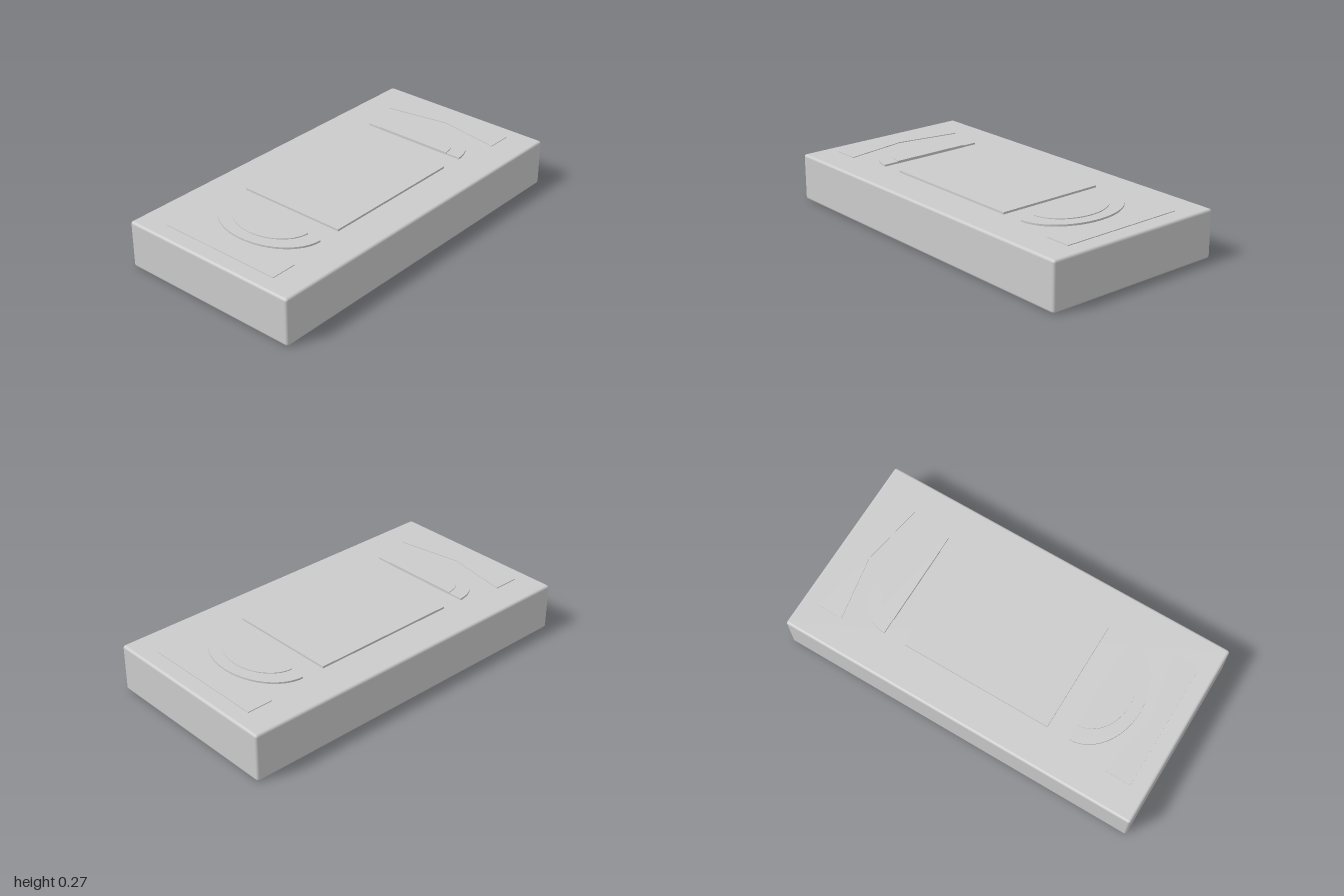
import * as THREE from 'three';
import { RoundedBoxGeometry } from 'three/addons/geometries/RoundedBoxGeometry.js';

const BODY_TOP = 0.256;
const material = new THREE.MeshStandardMaterial({ color: 0xcccccc });

// Flat plate cut from an outline of (x, z) points, rising from inside the body to the given height
function plate(name, points, top) {
  const shape = new THREE.Shape(points.map(([x, z]) => new THREE.Vector2(x, -z)));
  const base = BODY_TOP - 0.006;
  const geometry = new THREE.ExtrudeGeometry(shape, { depth: top - base, bevelEnabled: false });
  geometry.rotateX(-Math.PI / 2).translate(0, base, 0);
  const mesh = new THREE.Mesh(geometry, material);
  mesh.name = name;
  return mesh;
}

// Half ellipse with its straight edge facing the middle of the body
function halfEllipse(side, edgeX, rx, rz) {
  const points = [];
  for (let i = 0; i <= 24; i++) {
    const a = (i / 24 - 0.5) * Math.PI;
    points.push([side * (edgeX + rx * Math.cos(a)), rz * Math.sin(a)]);
  }
  return points;
}

export function createModel() {
  const model = new THREE.Group();
  model.name = 'cassetteBox';

  // Main body with softened edges
  const body = new THREE.Mesh(new RoundedBoxGeometry(2, BODY_TOP, 1.03, 3, 0.014), material);
  body.name = 'body';
  body.position.y = BODY_TOP / 2;
  model.add(body);

  // Central raised panel
  model.add(plate('centerPanel', [[-0.415, -0.305], [0.415, -0.305], [0.415, 0.305], [-0.415, 0.305]], 0.267));

  // Stepped half-round windows and notched end plates
  for (const side of [1, -1]) {
    const label = side > 0 ? 'left' : 'right';
    model.add(plate(label + 'WindowRim', halfEllipse(side, 0.54, 0.23, 0.305), 0.2655));
    model.add(plate(label + 'Window', halfEllipse(side, 0.538, 0.172, 0.222), 0.27));
    const outline = [[0.77, -0.35], [0.91, -0.35], [0.91, 0.35], [0.77, 0.35], [0.83, 0]];
    model.add(plate(label + 'EndPlate', outline.map(([x, z]) => [side * x, z]), 0.26));
  }
  return model;
}
